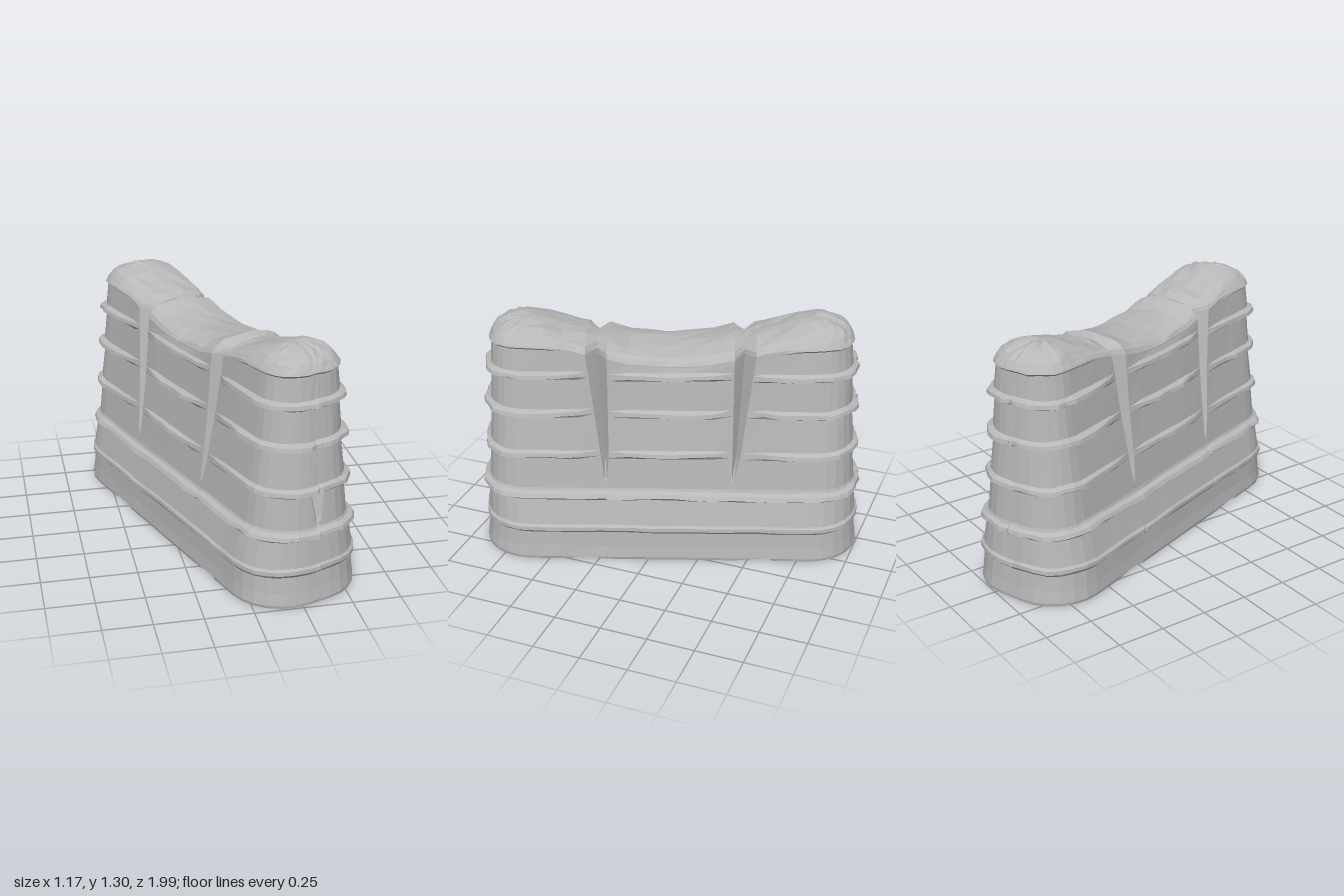
import * as THREE from 'three';

const clamp = THREE.MathUtils.clamp;

// Piecewise-linear lookup in rows of [key, value, value...]
function sample(rows, key, col = 1) {
  let i = 0;
  while (i < rows.length - 2 && key > rows[i + 1][0]) i++;
  const [a, b] = [rows[i], rows[i + 1]];
  const t = clamp((key - a[0]) / (b[0] - a[0]), 0, 1);
  return a[col] + (b[col] - a[col]) * t;
}

// Small repeatable noise in -1..1
function noise(i, j) {
  const s = Math.sin(i * 12.9898 + j * 78.233) * 43758.5453;
  return (s - Math.floor(s)) * 2 - 1;
}

// Wall profile: height, half width, half length
const WALL = [
  [0, 0.335, 1.015], [0.17, 0.325, 1.0], [0.21, 0.325, 1.0], [0.345, 0.298, 0.99],
  [0.395, 0.278, 0.985], [0.58, 0.257, 0.97], [0.83, 0.228, 0.95],
  [1.035, 0.212, 0.94], [1.2, 0.2, 0.93],
];
// Distance from the middle: rim height, crest height
const SKYLINE = [
  [0, 1.09, 1.145], [0.2, 1.1, 1.16], [0.33, 1.13, 1.205], [0.38, 1.13, 1.185],
  [0.44, 1.155, 1.21], [0.55, 1.18, 1.235], [0.68, 1.2, 1.285], [0.76, 1.2, 1.297], [0.95, 1.2, 1.285],
];
// Ledges: height, overhang, whether the clefts interrupt them
const LEDGES = [[0.185, 0.014, 0], [0.37, 0.027, 0], [0.6, 0.026, 1], [0.83, 0.032, 1], [1.035, 0.032, 1]];

// Columns around the plan: long sides with clefts, round corners, blunt ends
function makeColumns() {
  const half = [{ u: 0.11 }, { u: 0.22 }, { cleft: -1 }, { cleft: 0 }, { cleft: 1 }, { u: 0.48 }, { u: 0.56 }, { u: 0.65 }];
  const side = [
    ...[...half].reverse().map(c => ({ ...c, sign: -1 })),
    { u: 0, sign: 1 },
    ...half.map(c => ({ ...c, sign: 1 })),
  ];
  const columns = [];
  const corner = (su, sv, from) => {
    for (let k = 0; k <= 6; k++) columns.push({ kind: 'corner', su, sv, a: (from + k / 6) * Math.PI / 2 });
  };
  const end = su => [1, 0, -1].forEach(k => columns.push({ kind: 'end', su, k: k * su }));
  side.forEach(c => columns.push({ ...c, kind: 'side', sv: 1 }));
  corner(1, 1, 0);
  end(1);
  corner(1, -1, 1);
  [...side].reverse().forEach(c => columns.push({ ...c, kind: 'side', sv: -1 }));
  corner(-1, -1, 2);
  end(-1);
  corner(-1, 1, 3);
  return columns;
}

// Plan position [u along, v across] of a column at height y, pushed out by a ledge
function planPoint(c, y, out) {
  const W = sample(WALL, y, 1) + out, L = sample(WALL, y, 2) + out;
  const r = W * 0.8;
  if (c.kind === 'corner') {
    return [c.su * (L - r) + Math.sin(c.a) * r, c.sv * (W - r) + Math.cos(c.a) * r];
  }
  if (c.kind === 'end') {
    // Wedge-shaped chip below a ledge on the front end
    const chip = c.su > 0 && y > 0.4 && y < 0.59 ? (y - 0.4) / 0.18 : 0;
    return [c.su * (L - (c.k === 0 ? chip * 0.06 : 0)), c.k * 0.038 * (0.4 + 0.6 * chip)];
  }
  if (c.cleft === undefined) {
    // Shallow chips along the foot
    const chip = c.u === 0.48 && y < 0.01 ? 0.05 : 0;
    return [c.sign * c.u, c.sv * (W - chip)];
  }
  // Tapering V-shaped cleft that leans outward as it rises
  const t = clamp((y - 0.45) / 0.7, 0, 1);
  const u = 0.335 + 0.045 * t + c.cleft * (0.012 + 0.043 * t);
  return [c.sign * u, c.sv * (W - (c.cleft === 0 ? 0.085 * Math.sqrt(t) : 0))];
}

// Strength of a ledge at a column: it thins out beside the clefts
function ledgeStrength(c, broken) {
  if (!broken || c.kind !== 'side') return 1;
  if (c.cleft !== undefined) return 0;
  return clamp(Math.abs(c.u - 0.37) / 0.27, 0.15, 1);
}

function buildRock() {
  const columns = makeColumns(), n = columns.length;
  const rows = [];

  // Wall rows, four per ledge
  const wallRow = (y, out = 0, broken = 0, wobble = 0) => rows.push(columns.map((c, i) => {
    const o = out * ledgeStrength(c, broken) * (1 + 0.3 * noise(i, Math.round(y * 10)));
    const [u, v] = planPoint(c, y, o);
    return [u, y + wobble * noise(i >> 1, Math.round(y * 5)), v];
  }));
  wallRow(0);
  wallRow(0.015, 0.004);
  wallRow(0.08);
  LEDGES.forEach(([y, out, broken], k) => {
    wallRow(y - 0.022, 0, broken, 0.004);
    wallRow(y - 0.006, out, broken, 0.006);
    wallRow(y + 0.014, out * 0.9, broken, 0.004);
    wallRow(y + 0.026, out * 0.15, broken, 0.004);
    if (k === 1) { wallRow(0.41); wallRow(0.45); }
  });

  // Upper wall up to the uneven rim
  const base = 1.061;
  const rimHeight = c => sample(SKYLINE, Math.abs(planPoint(c, 1.1, 0)[0]), 1);
  [[0.85, 0], [0.93, 0.012], [1, 0.008]].forEach(([t, out]) => rows.push(columns.map((c, i) => {
    const y = base + (rimHeight(c) - base) * t;
    const [u, v] = planPoint(c, y, Math.abs(planPoint(c, y, 0)[0]) > 0.6 ? out : 0);
    return [u, y + 0.003 * noise(i, 7), v];
  })));

  // Rounded crest drawn in towards the middle line
  [0.94, 0.82, 0.6, 0.3, 0].forEach((s, k) => rows.push(columns.map((c, i) => {
    const rim = rimHeight(c);
    const [u, v] = planPoint(c, rim, 0);
    const spine = clamp(u, -0.73, 0.73);
    const pu = spine + (u - spine) * s;
    const crest = sample(SKYLINE, Math.abs(pu), 2);
    const lump = s > 0 ? 0.006 * noise(i, k + 20) : 0;
    return [pu, rim + (crest - rim) * Math.sqrt(1 - s * s) + lump, v * s];
  })));

  // Turn the plan about the vertical axis and stitch the rows
  const angle = THREE.MathUtils.degToRad(19.5), sn = Math.sin(angle), cs = Math.cos(angle);
  const positions = [], index = [];
  rows.flat().forEach(([u, y, v]) => positions.push(sn * u + cs * v, y, cs * u - sn * v));
  for (let j = 0; j < rows.length - 1; j++) {
    for (let i = 0; i < n; i++) {
      const a = j * n + i, b = j * n + (i + 1) % n;
      index.push(a, a + n, b, b, a + n, b + n);
    }
  }
  // Flat underside
  const centre = positions.length / 3;
  positions.push(0, 0, 0);
  for (let i = 0; i < n; i++) index.push(centre, i, (i + 1) % n);

  const indexed = new THREE.BufferGeometry();
  indexed.setAttribute('position', new THREE.Float32BufferAttribute(positions, 3));
  indexed.setIndex(index);
  const geometry = indexed.toNonIndexed();
  geometry.computeVertexNormals();
  return geometry;
}

export function createModel() {
  const group = new THREE.Group();
  group.name = 'layeredRock';
  const stone = new THREE.MeshStandardMaterial({ color: 0xb8b8b8, flatShading: true });
  stone.name = 'grey stone';
  const rock = new THREE.Mesh(buildRock(), stone);
  rock.name = 'rockBody';
  group.add(rock);
  return group;
}
